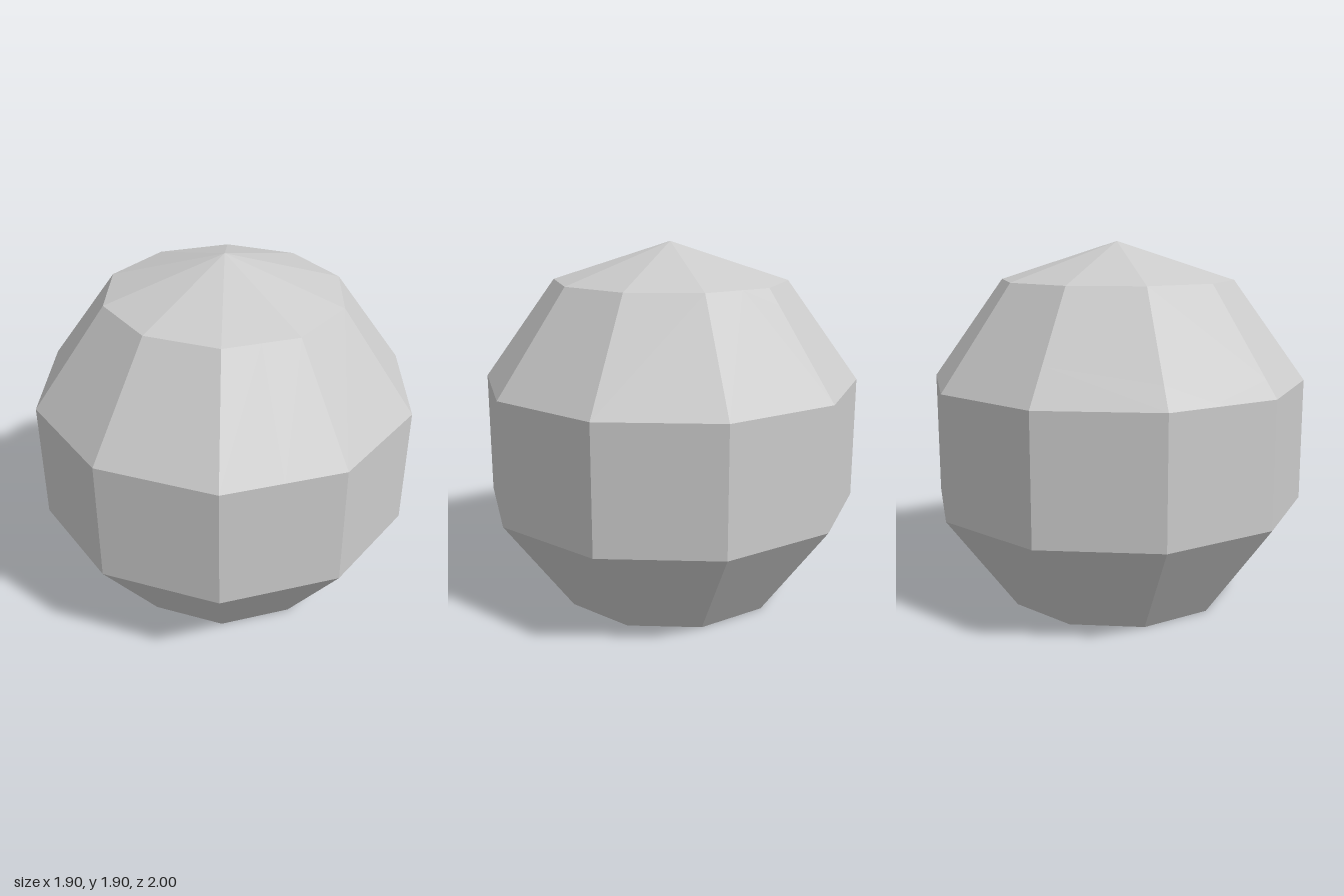
import * as THREE from 'three';

// Faceted ball with a flat base, split into six tightly fitting shards.
const SIDES = 10;
const PROFILE = [[0.618, 0], [1, 0.526], [1, 1.176], [0.618, 1.702], [0, 1.902]];

// One seed point per shard; each shard is the region nearest its seed.
const SEEDS = {
  upperRightShard: [-0.485, 1.53, 0.267],
  topShard: [0.236, 1.53, 0.5],
  sideShard: [-1.015, 0.72, 0.197],
  lowerFrontShard: [-0.54, 0.19, 0.17],
  leftShard: [0.77, 1.33, 0.405],
  backShard: [-0.455, 0.36, -0.275],
};

// Outward planes of the whole ball
function ballPlanes() {
  const planes = [new THREE.Plane(new THREE.Vector3(0, -1, 0), 0)];
  const inner = Math.cos(Math.PI / SIDES);
  for (let band = 0; band < PROFILE.length - 1; band++) {
    const [r0, y0] = PROFILE[band];
    const [r1, y1] = PROFILE[band + 1];
    for (let i = 0; i < SIDES; i++) {
      const a = (i + 0.5) * 2 * Math.PI / SIDES;
      const dy = y1 - y0;
      const normal = new THREE.Vector3(Math.sin(a) * dy, (r0 - r1) * inner, Math.cos(a) * dy).normalize();
      const point = new THREE.Vector3(Math.sin(a) * r0 * inner, y0, Math.cos(a) * r0 * inner);
      planes.push(new THREE.Plane().setFromNormalAndCoplanarPoint(normal, point));
    }
  }
  return planes;
}

// Corner shared by three planes, or null if they do not meet in a point
function meet(a, b, c) {
  const bc = b.normal.clone().cross(c.normal);
  const det = a.normal.dot(bc);
  if (Math.abs(det) < 1e-6) return null;
  return bc.multiplyScalar(-a.constant)
    .addScaledVector(c.normal.clone().cross(a.normal), -b.constant)
    .addScaledVector(a.normal.clone().cross(b.normal), -c.constant)
    .divideScalar(det);
}

// Closed convex solid bounded by outward planes, one flat polygon per plane
function solidFromPlanes(planes) {
  const corners = [];
  const n = planes.length;
  for (let i = 0; i < n; i++) for (let j = i + 1; j < n; j++) for (let k = j + 1; k < n; k++) {
    const p = meet(planes[i], planes[j], planes[k]);
    if (!p || planes.some((q) => q.distanceToPoint(p) > 1e-6)) continue;
    if (!corners.some((c) => c.distanceTo(p) < 1e-5)) corners.push(p);
  }
  const positions = [];
  for (const plane of planes) {
    const face = corners.filter((c) => Math.abs(plane.distanceToPoint(c)) < 1e-5);
    if (face.length < 3) continue;
    // Sort the corners counter-clockwise about the face normal
    const centre = face.reduce((s, c) => s.add(c), new THREE.Vector3()).divideScalar(face.length);
    const u = face[0].clone().sub(centre).normalize();
    const v = plane.normal.clone().cross(u);
    const angle = (c) => {
      const d = c.clone().sub(centre);
      return Math.atan2(d.dot(v), d.dot(u));
    };
    face.sort((p, q) => angle(p) - angle(q));
    for (let i = 1; i < face.length - 1; i++) {
      for (const c of [face[0], face[i], face[i + 1]]) positions.push(c.x, c.y, c.z);
    }
  }
  const geometry = new THREE.BufferGeometry();
  geometry.setAttribute('position', new THREE.Float32BufferAttribute(positions, 3));
  geometry.computeVertexNormals();
  return geometry;
}

export function createModel() {
  const group = new THREE.Group();
  group.name = 'shatteredBall';
  const material = new THREE.MeshStandardMaterial({ color: 0xcccccc, flatShading: true });
  const shell = ballPlanes();
  const seeds = Object.entries(SEEDS).map(([name, p]) => ({ name, point: new THREE.Vector3(...p) }));

  for (const seed of seeds) {
    // Break faces lie halfway between this seed and each other seed
    const cuts = seeds.filter((s) => s !== seed).map((other) =>
      new THREE.Plane().setFromNormalAndCoplanarPoint(
        other.point.clone().sub(seed.point).normalize(),
        other.point.clone().add(seed.point).multiplyScalar(0.5)));
    const shard = new THREE.Mesh(solidFromPlanes([...shell, ...cuts]), material);
    shard.name = seed.name;
    group.add(shard);
  }
  return group;
}
